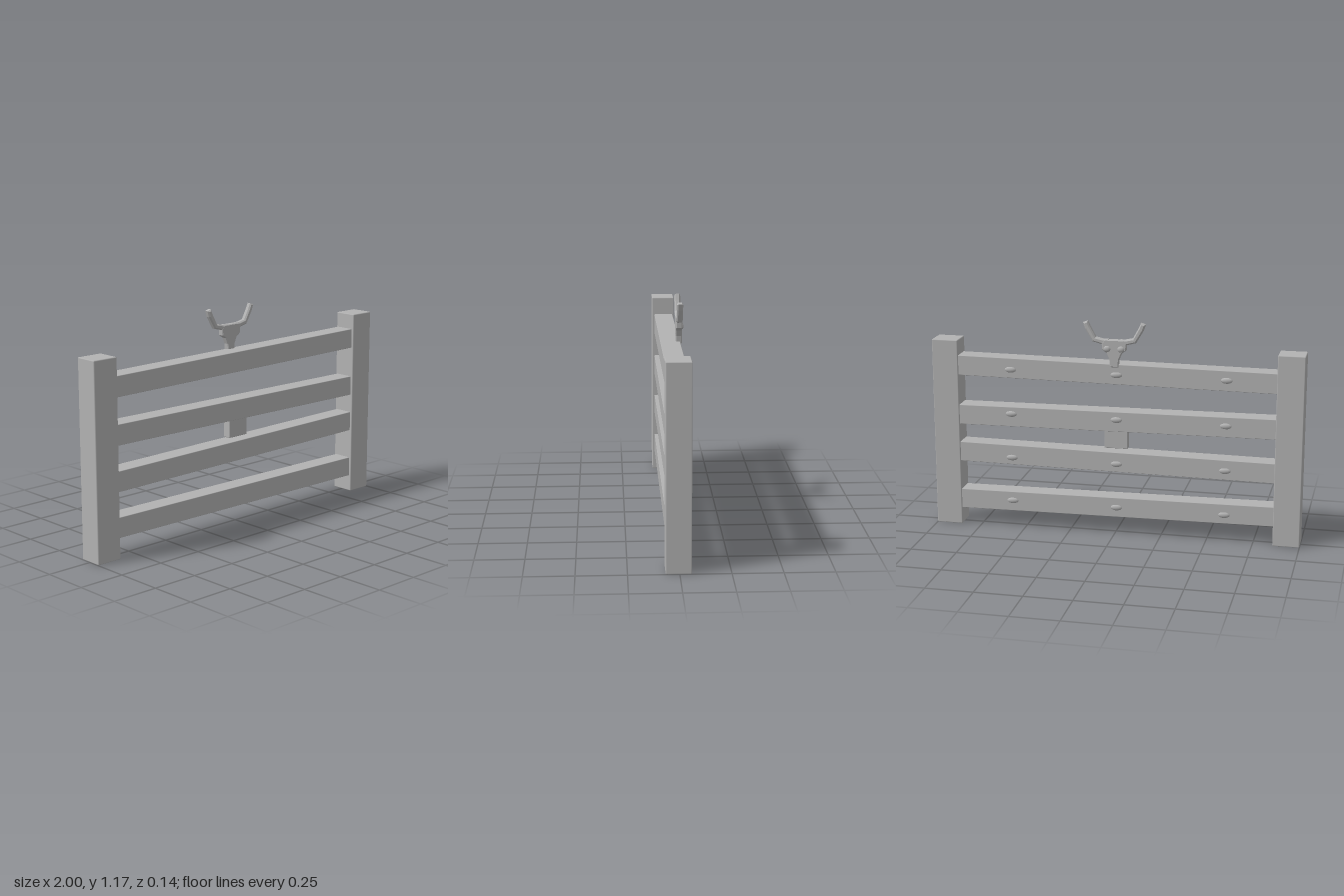
import * as THREE from 'three';
import { RoundedBoxGeometry } from 'three/addons/geometries/RoundedBoxGeometry.js';

export function createModel() {
  const model = new THREE.Group();
  model.name = 'ranchFence';
  const grey = new THREE.MeshStandardMaterial({ color: 0xb2b2b2 });
  grey.name = 'grey';

  const add = (name, geometry, x, y, z, parent = model) => {
    const mesh = new THREE.Mesh(geometry, grey);
    mesh.name = name;
    mesh.position.set(x, y, z);
    parent.add(mesh);
    return mesh;
  };

  // Bevelled plate from a closed outline, centred on z = 0
  const plate = (points, depth, bevel) => {
    const shape = new THREE.Shape(points.map(([x, y]) => new THREE.Vector2(x, y)));
    return new THREE.ExtrudeGeometry(shape, {
      depth: depth - 2 * bevel, bevelEnabled: true, bevelSegments: 1,
      bevelSize: bevel, bevelThickness: bevel, bevelOffset: -bevel,
    }).translate(0, 0, bevel - depth / 2);
  };

  // End posts
  for (const [name, side] of [['leftPost', 1], ['rightPost', -1]]) {
    add(name, new RoundedBoxGeometry(0.143, 1.035, 0.126, 1, 0.005), side * 0.9285, 0.5175, 0.005);
  }

  // Four rails, each slightly tilted, with flat oval bolts on the back
  const rails = [[0.1525, -0.0085], [0.407, 0.0095], [0.631, -0.0085], [0.89, 0.0085]];
  rails.forEach(([y, tilt], i) => {
    const rail = add('rail' + (i + 1), new RoundedBoxGeometry(1.76, 0.108, 0.105, 1, 0.003), 0, y, 0.0025);
    rail.rotation.z = tilt;
    for (const x of [-0.595, -0.011, 0.567]) {
      const bolt = add('bolt', new THREE.SphereGeometry(1, 12, 8), x, 0.152 + i * 0.245, -0.049);
      bolt.scale.set(0.032, 0.016, 0.011);
    }
  });

  // Small sign hanging under the second rail from the top
  add('sign', new RoundedBoxGeometry(0.128, 0.125, 0.046, 1, 0.004), -0.002, 0.5375, 0.003);

  // Horned skull behind the top rail
  const skull = new THREE.Group();
  skull.name = 'skull';
  skull.position.z = -0.0435;
  model.add(skull);

  const half = [[0.022, 0.93], [0.026, 0.972], [0.04, 1.005], [0.064, 1.022], [0.066, 1.058], [0.05, 1.076]];
  const mirrored = half.map(([x, y]) => [-x, y]).reverse();
  add('skullHead', plate([...half, ...mirrored], 0.033, 0.004), 0, 0, 0, skull);

  const horn = [
    [0.03, 1.05], [0.062, 1.05], [0.116, 1.064], [0.155, 1.13], [0.166, 1.163],
    [0.142, 1.171], [0.129, 1.142], [0.099, 1.087], [0.057, 1.078], [0.03, 1.078],
  ];
  for (const [side, label] of [[1, 'left'], [-1, 'right']]) {
    const outline = horn.map(([x, y]) => [side * x, y]);
    add(label + 'Horn', plate(outline, 0.032, 0.007), 0, 0, 0, skull);
    const eye = add(label + 'Eye', new THREE.SphereGeometry(1, 10, 8), side * 0.037, 1.028, -0.0145, skull);
    eye.scale.set(0.02, 0.017, 0.01);
  }

  return model;
}
